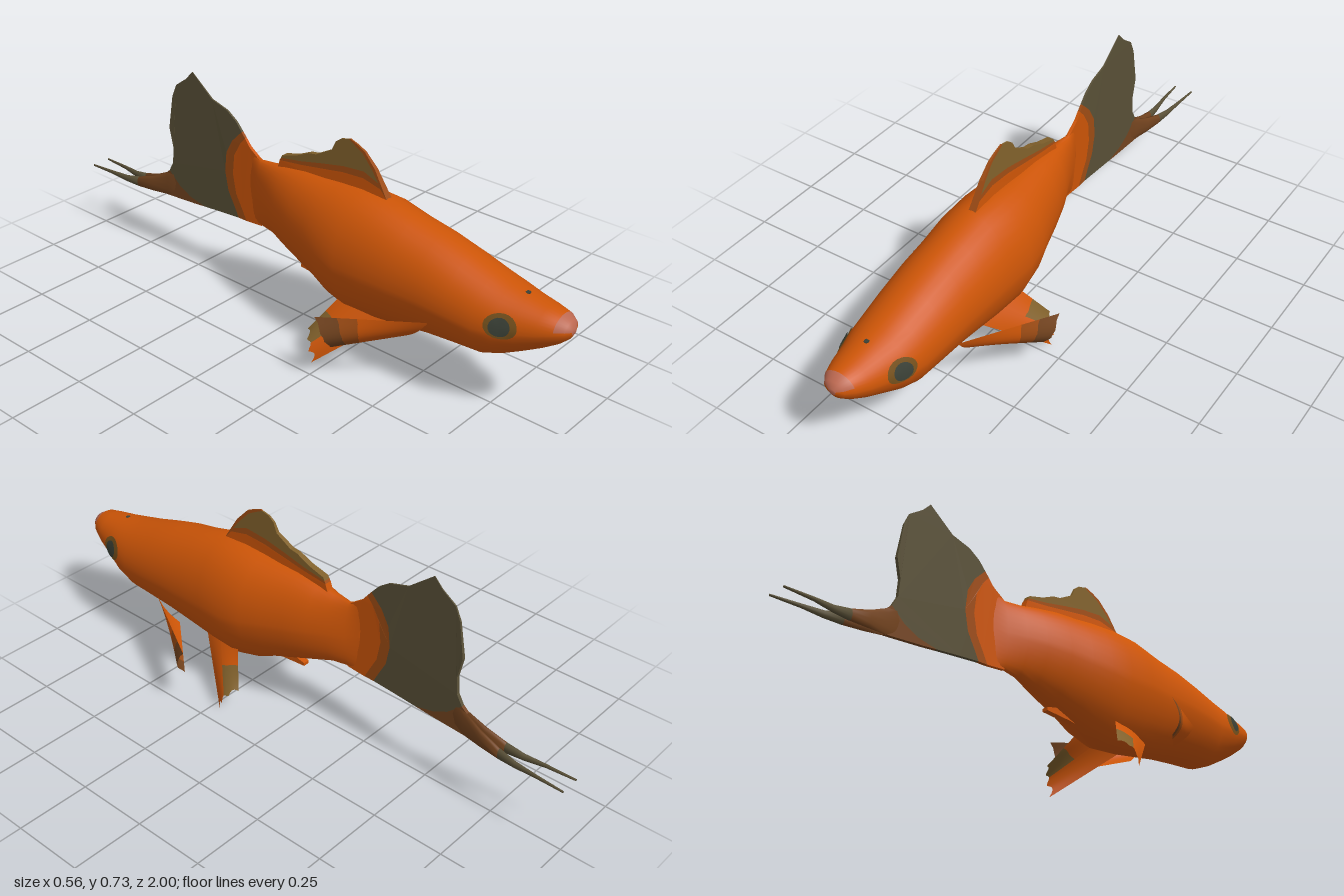
import * as THREE from 'three';

const mat = (name, color) => {
  const m = new THREE.MeshStandardMaterial({ color, side: THREE.DoubleSide });
  m.name = name;
  return m;
};

// Body stations: z, bottom, top, half width
const BODY = [
  [1.0, 0.345, 0.365, 0.012], [0.99, 0.328, 0.385, 0.036], [0.965, 0.305, 0.4, 0.056],
  [0.92, 0.275, 0.408, 0.075], [0.86, 0.24, 0.418, 0.092], [0.8, 0.208, 0.43, 0.113],
  [0.74, 0.184, 0.445, 0.123], [0.65, 0.178, 0.472, 0.131], [0.55, 0.168, 0.5, 0.136],
  [0.45, 0.152, 0.52, 0.14], [0.35, 0.136, 0.545, 0.146], [0.25, 0.128, 0.55, 0.149],
  [0.17, 0.15, 0.546, 0.14], [0.1, 0.182, 0.54, 0.12], [0.02, 0.211, 0.537, 0.1],
  [-0.06, 0.24, 0.526, 0.075], [-0.12, 0.262, 0.515, 0.049], [-0.18, 0.27, 0.51, 0.025],
  [-0.22, 0.268, 0.53, 0.0065], [-0.25, 0.267, 0.555, 0.003],
];
const KEEL = 1.22;

// Half width of the body surface at a given height and station
function surfaceX(z, y) {
  let i = 0;
  while (i < BODY.length - 2 && BODY[i + 1][0] > z) i++;
  const a = BODY[i], b = BODY[i + 1], k = (a[0] - z) / (a[0] - b[0]);
  const [bot, top, w] = [1, 2, 3].map((j) => a[j] + (b[j] - a[j]) * k);
  const mid = (bot + top) / 2;
  let t = Math.min(1, Math.abs((y - mid) / (top - mid)));
  if (y < mid) t = Math.pow(t, 1 / KEEL);
  return w * Math.sqrt(1 - t * t);
}

// Loft of oval rings; station = [z, bottom, top, half width, centre x]
function loft(stations, sides, isSecond = () => false) {
  const pos = [], groups = [[], []], n = sides;
  for (const [z, bot, top, w, cx = 0] of stations) {
    for (let j = 0; j < n; j++) {
      const a = (j / n) * Math.PI * 2, s = Math.sin(a), r = (top - bot) / 2;
      pos.push(cx + w * Math.cos(a), (top + bot) / 2 + r * (s < 0 ? -Math.pow(-s, KEEL) : s), z);
    }
  }
  for (let i = 0; i < stations.length - 1; i++) {
    for (let j = 0; j < n; j++) {
      const a = i * n + j, b = i * n + (j + 1) % n;
      groups[isSecond(i, j / n) ? 1 : 0].push(a, a + n, b, b, a + n, b + n);
    }
  }
  // End caps
  const last = (stations.length - 1) * n;
  for (let j = 1; j < n - 1; j++) {
    groups[isSecond(0, 0.25) ? 1 : 0].push(0, j, j + 1);
    groups[0].push(last, last + j + 1, last + j);
  }
  const g = new THREE.BufferGeometry();
  g.setAttribute('position', new THREE.Float32BufferAttribute(pos, 3));
  g.setIndex([...groups[0], ...groups[1]]);
  g.addGroup(0, groups[0].length, 0);
  g.addGroup(groups[0].length, groups[1].length, 1);
  g.computeVertexNormals();
  return g;
}

// Upright plate from [z, y] points, centred on x = 0, thinning between two heights
function plate(points, depth, [low, high]) {
  const shape = new THREE.Shape(points.map(([z, y]) => new THREE.Vector2(-z, y)));
  const g = new THREE.ExtrudeGeometry(shape, { depth, bevelEnabled: false });
  g.rotateY(Math.PI / 2).translate(-depth / 2, 0, 0);
  const p = g.attributes.position;
  for (let i = 0; i < p.count; i++) {
    const k = THREE.MathUtils.clamp((p.getY(i) - low) / (high - low), 0, 1);
    p.setX(i, p.getX(i) * (1 - 0.85 * k));
  }
  g.computeVertexNormals();
  return g;
}

// Curved four-cornered fin, covering u0..u1 of its length and v0..v1 of its breadth
function finSheet(c, [u0, u1], [v0, v1], curl, ragged) {
  const [a, b, d, e] = c.map((v) => new THREE.Vector3(...v));
  const normal = d.clone().sub(a).cross(e.clone().sub(b)).normalize();
  const g = new THREE.PlaneGeometry(1, 1, 8, 8), p = g.attributes.position;
  for (let i = 0; i < p.count; i++) {
    const u = u0 + (u1 - u0) * (p.getX(i) + 0.5), v = v0 + (v1 - v0) * (p.getY(i) + 0.5);
    const reach = u * (1 - ragged * u * Math.abs(Math.sin(v * Math.PI * 3)));
    const root = a.clone().lerp(b, v), tip = e.clone().lerp(d, v);
    const q = root.lerp(tip, reach).addScaledVector(normal, curl * Math.sin(Math.PI * v) * (0.4 + 0.6 * u));
    p.setXYZ(i, q.x, q.y, q.z);
  }
  g.computeVertexNormals();
  return g;
}

// Disc laid on the side of the head
function headPatch(z, y, rz, ry, lift, side) {
  const g = new THREE.CircleGeometry(1, 20), p = g.attributes.position;
  for (let i = 0; i < p.count; i++) {
    const pz = z - p.getX(i) * rz, py = y + p.getY(i) * ry;
    p.setXYZ(i, side * (surfaceX(pz, py) + lift), py, pz);
  }
  if (side < 0) g.setIndex([...g.index.array].reverse());
  g.computeVertexNormals();
  return g;
}

export function createModel() {
  const orange = mat('orange skin', 0xcd5507);
  const olive = mat('olive fin', 0x595037);
  const rust = mat('rust band', 0x9e4c14);
  const brown = mat('brown fin tip', 0x74441f);
  const amber = mat('amber fin', 0x80602b);
  const pink = mat('pink nose', 0xbc6850);
  const ring = mat('eye ring', 0x75501c);
  const dark = mat('eye dark', 0x3a4036);

  const model = new THREE.Group();
  const add = (name, geometry, material) => {
    const m = new THREE.Mesh(geometry, material);
    m.name = name;
    model.add(m);
  };

  // Body with a pink upper nose
  add('body', loft(BODY, 36, (i, t) => i < 2 && t > 0.04 && t < 0.45), [orange, pink]);
  add('nostril', new THREE.CylinderGeometry(0.008, 0.008, 0.006, 10).translate(0, 0.419, 0.845), dark);

  // Tail: orange root, rust band, olive fan and brown lower edge
  const edge = (out) => [[-0.25, 0.565], [-0.272 - out, 0.54], [-0.3 - out, 0.49],
    [-0.308 - out, 0.42], [-0.295 - out, 0.35], [-0.268 - out, 0.3], [-0.25 - out, 0.264]];
  const inner = edge(0), outer = edge(0.036);
  outer[0] = [-0.265, 0.583];
  const thin = [0.5, 0.74];
  const lowSeam = [[-0.45, 0.25], [-0.52, 0.265], [-0.57, 0.29], [-0.62, 0.335]];
  add('tailRoot', plate([[-0.18, 0.505], [-0.23, 0.54], ...inner, [-0.18, 0.27]], 0.012, thin), orange);
  add('tailBand', plate([...inner, ...outer.slice().reverse()], 0.012, thin), rust);
  add('tailFan', plate([...outer.slice().reverse(), [-0.29, 0.612], [-0.33, 0.64], [-0.4, 0.66],
    [-0.45, 0.7], [-0.49, 0.732], [-0.52, 0.7], [-0.57, 0.665], [-0.59, 0.62], [-0.6, 0.56],
    [-0.61, 0.5], [-0.595, 0.43], [-0.6, 0.37], ...lowSeam.slice().reverse(), [-0.36, 0.258]], 0.012, thin), olive);
  add('tailLowerEdge', plate([...lowSeam, [-0.64, 0.318], [-0.64, 0.235], [-0.5, 0.245]], 0.012, thin), brown);

  // Dorsal fin: orange base, rust band and leading edge, amber sail
  const taper = [0.54, 0.7];
  const seam = [[0.318, 0.57], [0.25, 0.585], [0.17, 0.58], [0.08, 0.565], [0, 0.552], [-0.09, 0.541]];
  const upper = [[0.308, 0.586], [0.25, 0.607], [0.17, 0.6], [0.08, 0.582], [0, 0.564], [-0.085, 0.55]];
  const front = [[0.282, 0.62], [0.242, 0.662], [0.212, 0.678]];
  add('dorsalBase', plate([[0.345, 0.54], ...seam, [-0.1, 0.51], [0.1, 0.525]], 0.025, taper), orange);
  add('dorsalBand', plate([...seam, ...upper.slice().reverse()], 0.025, taper), rust);
  add('dorsalFin', plate([...upper.slice().reverse(), ...front,
    [0.185, 0.692], [0.155, 0.685], [0.135, 0.67], [0.12, 0.638], [0.06, 0.605], [0.03, 0.6],
    [-0.02, 0.577], [-0.08, 0.56]], 0.025, taper), amber);
  add('dorsalLeadingEdge', plate([[0.345, 0.54], [0.292, 0.625], [0.25, 0.669], [0.22, 0.684],
    [0.19, 0.695], [0.185, 0.692], ...front.slice().reverse(), upper[0], seam[0]], 0.025, taper), rust);

  // Anal fin
  add('analFin', plate([[0.22, 0.155], [0.1, 0.178], [0, 0.186], [0, 0.197], [0.08, 0.215], [0.16, 0.21]],
    0.022, [0.3, 0.4]), orange);

  for (const side of [1, -1]) {
    const tag = side > 0 ? 'left' : 'right';
    const flip = (c) => c.map(([x, y, z]) => [x * side, y, z]);

    // Forked sword under the tail
    add(tag + 'Sword', loft([[-0.58, 0.237, 0.36, 0.005, 0], [-0.63, 0.234, 0.325, 0.006, 0.004 * side],
      [-0.7, 0.23, 0.29, 0.008, 0.012 * side], [-0.77, 0.228, 0.266, 0.011, 0.018 * side]], 10), brown);
    add(tag + 'SwordTip', loft([[-0.77, 0.228, 0.266, 0.011, 0.018 * side], [-0.83, 0.23, 0.254, 0.008, 0.023 * side],
      [-0.9, 0.238, 0.252, 0.005, 0.029 * side], [-1, 0.241, 0.248, 0.003, 0.034 * side]], 10), olive);

    // Pectoral fin, darkening towards the tip
    const pec = flip([[0.115, 0.265, 0.59], [0.095, 0.175, 0.5], [0.242, 0.128, 0.325], [0.276, 0.237, 0.29]]);
    [[0, 0.62, 'Base', orange], [0.62, 0.8, 'Band', rust], [0.8, 1, 'Tip', brown]].forEach(([u0, u1, part, m]) =>
      add(tag + 'Pectoral' + part, finSheet(pec, [u0, u1], [0, 1], 0.024 * side, 0.02), m));

    // Pelvic fin, its trailing tip darker
    const pel = flip([[0.06, 0.165, 0.4], [0.085, 0.2, 0.23], [0.158, 0.085, 0.16], [0.198, 0, 0.21]]);
    [[0, 1, 0, 0.5, 'Front', orange], [0, 0.45, 0.5, 1, 'Back', orange], [0.45, 1, 0.5, 1, 'Tip', amber]]
      .forEach(([u0, u1, v0, v1, part, m]) =>
        add(tag + 'Pelvic' + part, finSheet(pel, [u0, u1], [v0, v1], -0.022 * side, 0.08), m));

    // Eye
    add(tag + 'EyeRing', headPatch(0.825, 0.345, 0.048, 0.038, 0.004, side), ring);
    add(tag + 'Eye', headPatch(0.825, 0.345, 0.03, 0.028, 0.008, side), dark);
  }
  return model;
}
